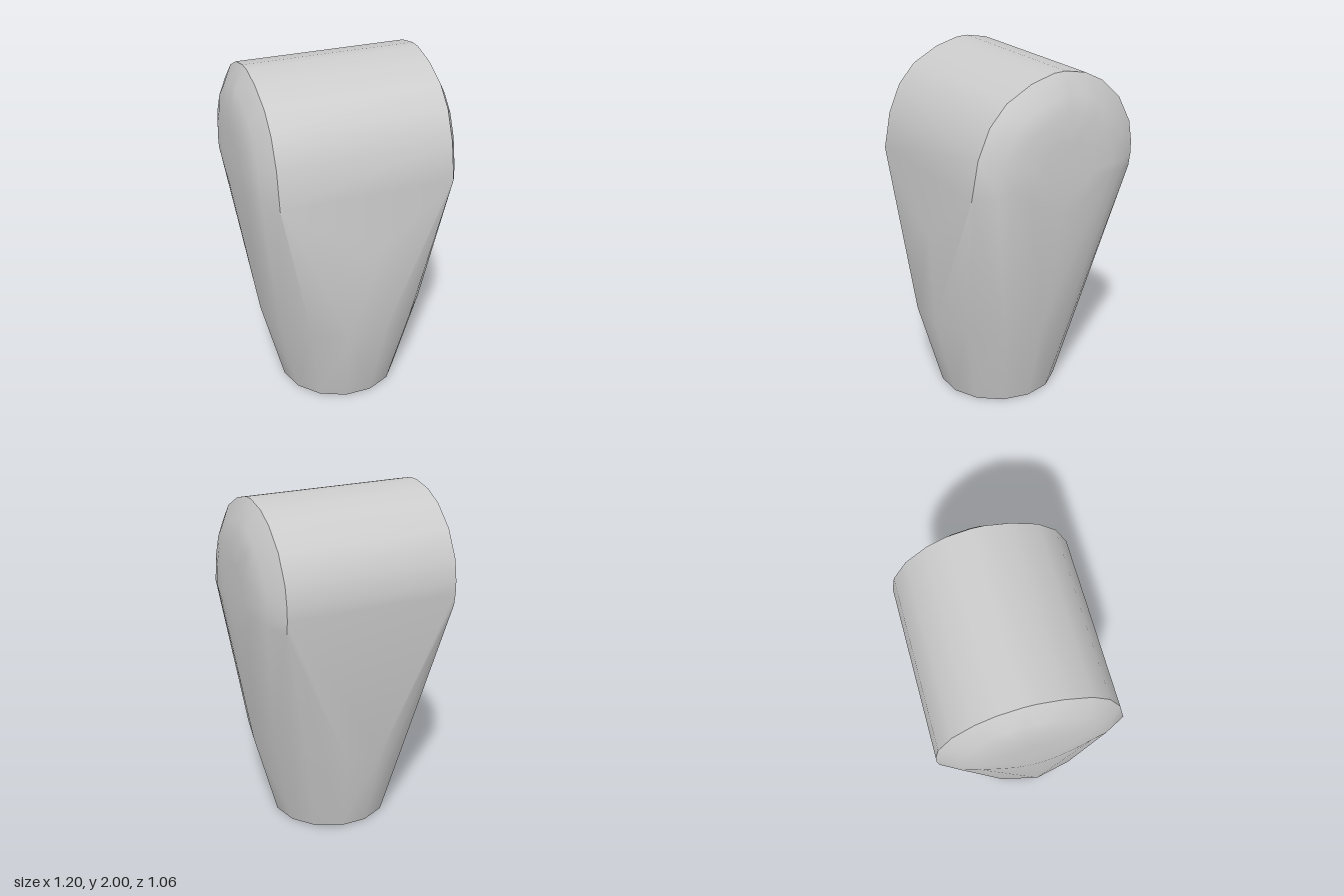
import * as THREE from 'three';
import { ConvexGeometry } from 'three/addons/geometries/ConvexGeometry.js';
import { toCreasedNormals } from 'three/addons/utils/BufferGeometryUtils.js';

// Half-round crown seen from the side, as [z, y]
const crown = [
  [0.50, 1.40], [0.46, 1.61], [0.39, 1.77], [0.29, 1.88], [0.14, 1.96], [0.0, 1.998], [-0.07, 2.0],
  [-0.20, 1.975], [-0.31, 1.92], [-0.43, 1.81], [-0.51, 1.66], [-0.53, 1.54], [-0.53, 1.47], [-0.52, 1.40],
];
const MID_Z = -0.03, MID_Y = 1.48;

// Round section of the tapering neck
function ring(y, radius, z, sides = 14) {
  const pts = [];
  for (let i = 0; i < sides; i++) {
    const a = ((i + 0.5) / sides) * Math.PI * 2;
    pts.push(new THREE.Vector3(-0.007 + radius * Math.sin(a), y, z + radius * Math.cos(a)));
  }
  return pts;
}

// Crown outline shrunk towards its middle, forming one step of a domed end
function crownStep(x, scale) {
  return crown.map(([z, y]) =>
    new THREE.Vector3(x, MID_Y + (y - MID_Y) * scale, MID_Z + (z - MID_Z) * scale));
}

export function createModel() {
  const group = new THREE.Group();
  group.name = 'roundedBlock';

  // Tapering neck and the gentle front belly
  const points = [...ring(0, 0.352, 0.04), ...ring(0.52, 0.49, 0.045)];
  for (const x of [-0.07, 0.07]) points.push(new THREE.Vector3(x, 1.07, 0.53));

  // Crown with a domed end on each side
  for (const s of [-1, 1]) {
    const shift = s < 0 ? -0.007 : -0.005;
    points.push(...crownStep(s * 0.498 + shift, 1));
    points.push(...crownStep(s * 0.563 + shift, 0.78));
    points.push(...crownStep(s * 0.588 + shift, 0.6));
    points.push(...crownStep(s * 0.597 + shift, 0.35));
    // Lower edge of the dome, running into the neck
    for (const [z, y] of [[-0.22, 1.36], [-0.12, 1.29], [0, 1.26], [0.1, 1.29], [0.2, 1.36]])
      points.push(new THREE.Vector3(s * 0.592 + shift, y, z));
  }

  // Skin stretched over the sections, sharp only at the foot and the crown rims
  const geometry = toCreasedNormals(new ConvexGeometry(points), THREE.MathUtils.degToRad(38));
  const body = new THREE.Mesh(geometry, new THREE.MeshStandardMaterial({ color: 0xcccccc }));
  body.name = 'body';
  group.add(body);
  return group;
}
